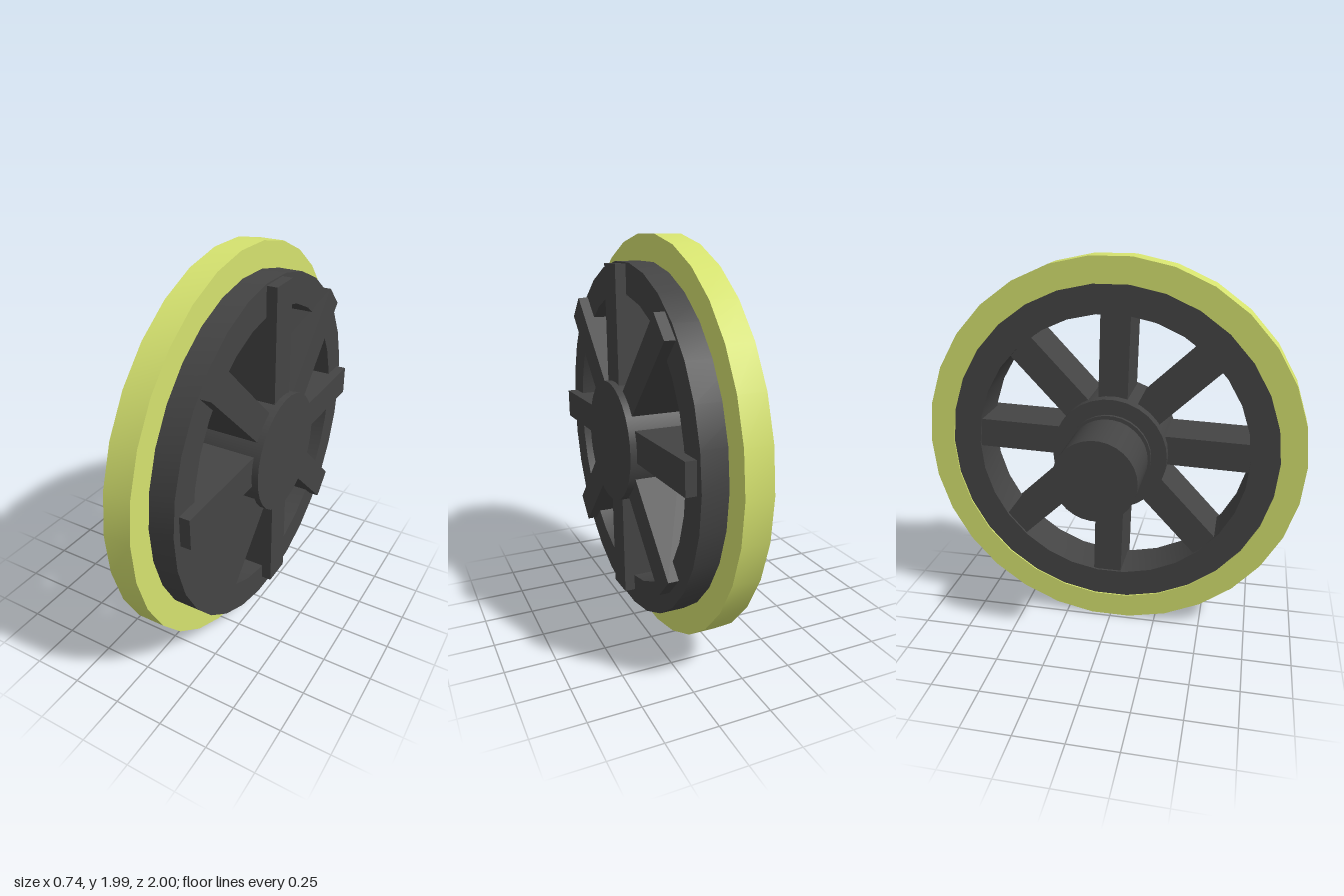
import * as THREE from 'three';
import { toCreasedNormals } from 'three/addons/utils/BufferGeometryUtils.js';

const SIDES = 30;
const AXLE_Y = 0.995;
const dark = new THREE.MeshStandardMaterial({ color: 0x444444 });
const lime = new THREE.MeshStandardMaterial({ color: 0xd5e26f });

function addPart(parent, name, geometry, material) {
  const mesh = new THREE.Mesh(geometry, material);
  mesh.name = name;
  parent.add(mesh);
  return mesh;
}

// Solid disc along the x axis, from x0 to x1
function disc(radius, x0, x1) {
  return new THREE.CylinderGeometry(radius, radius, x1 - x0, SIDES)
    .rotateZ(-Math.PI / 2)
    .translate((x0 + x1) / 2, AXLE_Y, 0);
}

// Ring of rectangular section around the x axis
function ring(inner, outer, x0, x1) {
  const profile = [[inner, x0], [outer, x0], [outer, x1], [inner, x1], [inner, x0]]
    .map(([r, x]) => new THREE.Vector2(r, x));
  const geometry = new THREE.LatheGeometry(profile, SIDES)
    .rotateZ(-Math.PI / 2)
    .translate(0, AXLE_Y, 0);
  return toCreasedNormals(geometry, Math.PI / 6);
}

export function createModel() {
  const wheel = new THREE.Group();
  wheel.name = 'wheel';

  // Coloured flange and the dark rim set into it
  addPart(wheel, 'flange', ring(0.868, 1, 0.02, 0.155), lime);
  addPart(wheel, 'rim', ring(0.72, 0.872, 0.028, 0.28), dark);

  // Hub, collar and axle stub
  addPart(wheel, 'hub', disc(0.3, -0.02, 0.365), dark);
  addPart(wheel, 'collar', disc(0.22, -0.038, -0.02), dark);
  addPart(wheel, 'axle', disc(0.208, -0.37, -0.058), dark);

  // Eight deep spokes, slightly turned and set a little above the axle
  const spokes = new THREE.Group();
  spokes.name = 'spokes';
  spokes.position.y = 1.028;
  const inner = 0.15, outer = 0.827, back = 0.04, front = 0.332;
  const spoke = new THREE.BoxGeometry(front - back, outer - inner, 0.152)
    .translate((front + back) / 2, (inner + outer) / 2, 0);
  for (let i = 0; i < 8; i++) {
    addPart(spokes, 'spoke', spoke, dark).rotation.x = (i * Math.PI) / 4 + 0.03;
  }
  wheel.add(spokes);

  return wheel;
}
